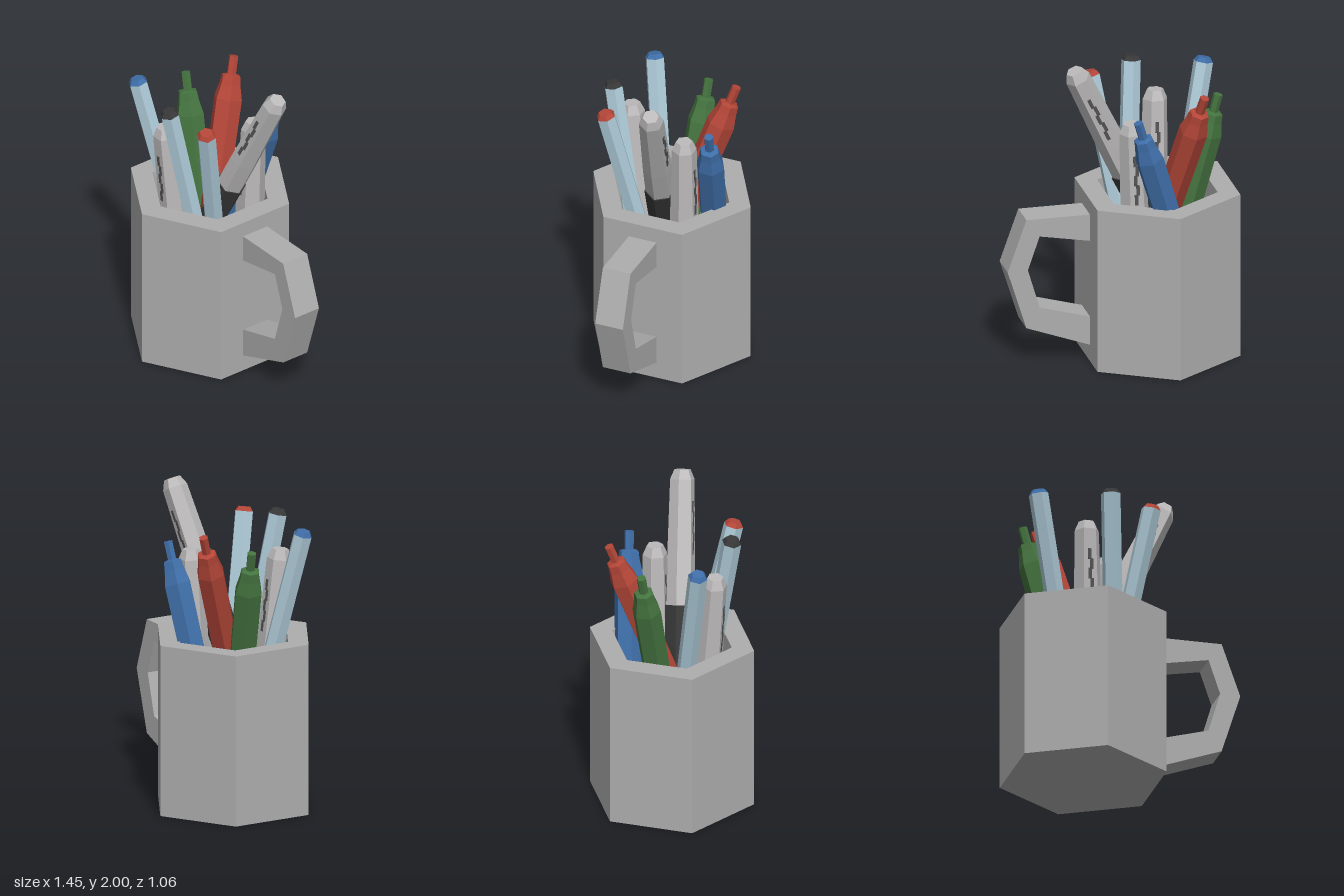
import * as THREE from 'three';

const material = (name, color) => {
  const m = new THREE.MeshStandardMaterial({ color, flatShading: true });
  m.name = name;
  return m;
};

export function createModel() {
  const model = new THREE.Group();
  model.name = 'mugOfPens';

  const stone = material('mugGrey', 0xaeaeae);
  const silver = material('markerGrey', 0xbcbaba);
  const ink = material('black', 0x383838);
  const label = material('labelGrey', 0x555555);
  const red = material('red', 0xb44638);
  const green = material('green', 0x457440);
  const blue = material('blue', 0x3f6ea8);
  const pale = material('paleBlue', 0xaecbd9);

  const add = (parent, name, geometry, mat) => {
    const flat = geometry.index ? geometry.toNonIndexed() : geometry;
    flat.computeVertexNormals();
    const mesh = new THREE.Mesh(flat, mat);
    mesh.name = name;
    parent.add(mesh);
    return mesh;
  };

  // Six-sided turned shape; profile runs from the bottom outside upwards
  const hex = (profile) =>
    new THREE.LatheGeometry(profile.map(([r, y]) => new THREE.Vector2(r, y)), 6);

  // Mug with a hollow, slightly tapering inside
  const cup = add(model, 'mug', hex([
    [0, 0], [0.53, 0], [0.53, 1.09], [0.385, 1.09], [0.355, 0.08], [0, 0.08],
  ]), stone);
  cup.position.x = -0.267;

  // Handle
  const handleShape = new THREE.Shape([
    [0.18, 0.105], [0.6, 0.27], [0.72, 0.66], [0.6, 1.0], [0.18, 0.99],
    [0.18, 0.81], [0.515, 0.88], [0.59, 0.66], [0.515, 0.4], [0.18, 0.297],
  ].map(([x, y]) => new THREE.Vector2(x, y)));
  const handle = add(model, 'handle',
    new THREE.ExtrudeGeometry(handleShape, { depth: 0.186, bevelEnabled: false }), stone);
  handle.position.z = -0.093;

  // Group hung from its upper end; slope is [dx/dy, dz/dy]
  const leaning = (name, top, slope, roll = 0) => {
    const g = new THREE.Group();
    g.name = name;
    g.position.set(...top);
    const axis = new THREE.Vector3(slope[0], 1, slope[1]).normalize();
    g.quaternion.setFromUnitVectors(new THREE.Vector3(0, 1, 0), axis);
    g.rotateY(roll);
    model.add(g);
    return g;
  };
  // Section listed as [radius, distance below the upper end]
  const section = (g, name, points, mat) =>
    add(g, name, hex(points.map(([r, d]) => [r, -d]).reverse()), mat);

  // Slim ballpoints, standing on their caps
  const ballpoint = (name, mat, top, slope) => {
    const g = leaning(name, top, slope);
    section(g, 'endPlug', [[0, 0], [0.042, 0], [0.062, 0.028]], mat);
    section(g, 'barrel', [[0.062, 0.028], [0.062, 1.2]], pale);
    section(g, 'cap', [[0, 1.17], [0.076, 1.17], [0.07, 1.68], [0.04, 1.74], [0, 1.74]], mat);
    const clip = add(g, 'clip', new THREE.BoxGeometry(0.035, 0.4, 0.03), mat);
    clip.position.set(0, -1.38, 0.085);
  };
  ballpoint('blueBallpoint', blue, [-0.645, 1.8, 0.28], [-0.21, 0.155]);
  ballpoint('blackBallpoint', ink, [-0.202, 1.825, 0.37], [-0.075, 0.18]);
  ballpoint('redBallpoint', red, [0.087, 1.785, 0.3], [0.16, 0.2]);

  // Thick markers with a broken label strip on the front and back
  const marker = (name, mat, top, slope) => {
    const g = leaning(name, top, slope, Math.PI / 6);
    section(g, 'barrel', [[0, 0], [0.052, 0], [0.078, 0.06], [0.09, 0.6], [0.09, 0.85]], silver);
    section(g, 'cap', [[0, 0.84], [0.097, 0.84], [0.092, 1.1], [0.065, 1.5], [0, 1.5]], mat);
    for (const side of [0, Math.PI]) {
      const strip = new THREE.Group();
      strip.name = 'labelStrip';
      strip.rotation.y = side - Math.PI / 6;
      g.add(strip);
      for (let i = 0; i < 5; i++) {
        const d = 0.23 + i * 0.065;
        const r = 0.866 * (0.078 + 0.012 * (d - 0.06) / 0.54);
        const dash = add(strip, 'labelDash', new THREE.BoxGeometry(0.022, 0.07, 0.006), label);
        dash.position.set(i % 2 ? 0.008 : -0.004, -d, r);
      }
    }
  };
  marker('blackMarker', ink, [0.295, 1.975, -0.098], [0.47, -0.12]);
  marker('redMarker', red, [-0.335, 1.612, 0.3], [-0.035, 0.085]);
  marker('blueMarker', blue, [-0.05, 1.612, -0.175], [0.04, -0.015]);

  // Broad felt pens with a narrow knob on top
  const feltPen = (name, mat, top, slope) => {
    const g = leaning(name, top, slope);
    section(g, 'body', [
      [0, 0], [0.03, 0], [0.03, 0.115], [0.062, 0.125], [0.07, 0.18],
      [0.092, 0.27], [0.088, 0.8], [0.08, 1.58], [0.05, 1.62], [0, 1.62],
    ], mat);
  };
  feltPen('redFeltPen', red, [-0.475, 1.805, -0.345], [-0.2, -0.33]);
  feltPen('greenFeltPen', green, [-0.632, 1.705, -0.09], [-0.25, -0.06]);
  feltPen('blueFeltPen', blue, [-0.05, 1.685, -0.34], [0.3, -0.08]);

  return model;
}
